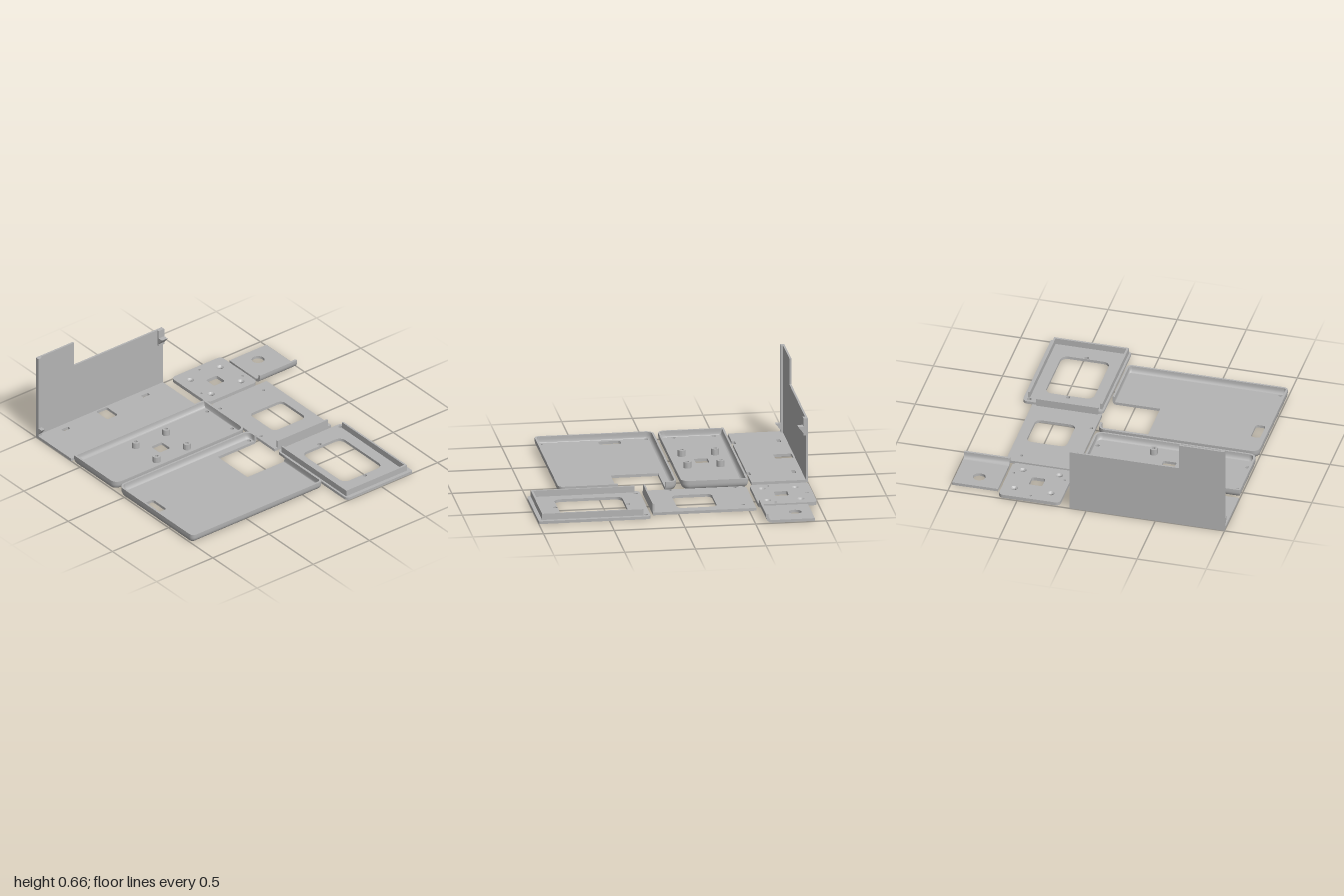
import * as THREE from 'three';
import { toCreasedNormals } from 'three/addons/utils/BufferGeometryUtils.js';

const grey = new THREE.MeshStandardMaterial({ color: 0xb4b4b4, side: THREE.DoubleSide });
grey.name = 'plain grey';

function add(group, name, geometry) {
  const mesh = new THREE.Mesh(toCreasedNormals(geometry, 0.6), grey);
  mesh.name = name;
  group.add(mesh);
  return mesh;
}

function part(root, name) {
  const g = new THREE.Group();
  g.name = name;
  root.add(g);
  return g;
}

// Rounded rectangle outline in (x, z); radii in order front-right, back-right, back-left, front-left as seen from above
function outline(x0, x1, z0, z1, radii, steps = 6) {
  const corners = [[x1, z1, -1, -1, 0.5], [x1, z0, -1, 1, 0], [x0, z0, 1, 1, -0.5], [x0, z1, 1, -1, -1]];
  return corners.flatMap(([x, z, sx, sz, turn], i) => {
    const r = Math.max(radii[i], 0.0005);
    return Array.from({ length: steps + 1 }, (_, k) => {
      const a = (turn - 0.5 * k / steps) * Math.PI;
      return new THREE.Vector2(x + sx * r + r * Math.cos(a), z + sz * r + r * Math.sin(a));
    });
  });
}
const rect = (x0, x1, z0, z1, r = 0) => outline(x0, x1, z0, z1, [r, r, r, r]);
const circle = (x, z, r) => Array.from({ length: 24 }, (_, i) =>
  new THREE.Vector2(x + r * Math.cos(i * Math.PI / 12), z + r * Math.sin(i * Math.PI / 12)));

// Flat plate: (x, z) outline with holes, raised along y
function plate(points, holes, y, height) {
  const flip = list => list.map(p => new THREE.Vector2(p.x, -p.y));
  const shape = new THREE.Shape(flip(points));
  shape.holes = holes.map(h => new THREE.Path(flip(h)));
  return new THREE.ExtrudeGeometry(shape, { depth: height, bevelEnabled: false })
    .rotateX(-Math.PI / 2).translate(0, y, 0);
}

// Bar with a (z, y) cross-section running along x
function bar(points, x0, x1) {
  const shape = new THREE.Shape(points.map(p => new THREE.Vector2(...p)));
  return new THREE.ExtrudeGeometry(shape, { depth: x1 - x0, bevelEnabled: false })
    .rotateY(-Math.PI / 2).translate(x1, 0, 0);
}

function box(x0, x1, y0, y1, z0, z1) {
  return new THREE.BoxGeometry(x1 - x0, y1 - y0, z1 - z0)
    .translate((x0 + x1) / 2, (y0 + y1) / 2, (z0 + z1) / 2);
}

// Rim section: [inset at the sides, inset at front and back, y]
const rim = [[0.02, 0.035, 0], [0.011, 0.021, 0.004], [0.005, 0.01, 0.013], [0.001, 0.003, 0.026], [0, 0, 0.04],
  [0, 0, 0.065], [0.016, 0.014, 0.065], [0.016, 0.015, 0.046], [0.017, 0.02, 0.032],
  [0.018, 0.027, 0.023], [0.02, 0.035, 0.02]];

// Tray: pierced floor with a swept rim, optionally open on the +x side
function tray(group, x0, x1, z0, z1, radii, holes, notch) {
  const ring = ([dx, dz]) => {
    const pts = outline(x0 + dx, x1 - dx, z0 + dz, z1 - dz, radii.map(r => r - Math.min(dx, dz)));
    if (!notch) return pts;
    const n = 7; // start just behind the opening and finish in front of it
    return [new THREE.Vector2(x1 - dx, notch.z0), ...pts.slice(n), ...pts.slice(0, n),
      new THREE.Vector2(x1 - dx, notch.z1)];
  };
  const rings = rim.map(ring);
  const n = rings[0].length, m = rim.length, pos = [], idx = [];
  rings.forEach((pts, j) => pts.forEach(p => pos.push(p.x, rim[j][2], p.y)));
  for (let j = 0; j < m - 1; j++) {
    for (let i = 0; i < (notch ? n - 1 : n); i++) {
      const a = j * n + i, b = j * n + (i + 1) % n;
      idx.push(a, b, b + n, a, b + n, a + n);
    }
  }
  if (notch) {
    const faces = THREE.ShapeUtils.triangulateShape(rim.map(p => new THREE.Vector2(p[0], p[2])), []);
    faces.forEach(([a, b, c]) => idx.push(a * n, b * n, c * n, c * n + n - 1, b * n + n - 1, a * n + n - 1));
  }
  const geo = new THREE.BufferGeometry();
  geo.setAttribute('position', new THREE.Float32BufferAttribute(pos, 3));
  geo.setIndex(idx);
  add(group, 'rim', geo);
  const floor = [...rings[0]];
  if (notch) floor.push(new THREE.Vector2(notch.x, notch.z1), new THREE.Vector2(notch.x, notch.z0));
  add(group, 'floor', plate(floor, holes, 0, 0.02));
}

export function createModel() {
  const root = new THREE.Group();
  root.name = 'enclosurePanels';

  // Upright bracket with slotted base and clips
  const bracket = part(root, 'bracket');
  const base = [[-1, -1], [0.12, -1], [0.12, -0.6], [-0.05, -0.6], [-0.05, -0.622], [-0.11, -0.622], [-0.11, -0.6],
    [-0.76, -0.6], [-0.76, -0.622], [-0.82, -0.622], [-0.82, -0.6], [-1, -0.6]].map(p => new THREE.Vector2(...p));
  add(bracket, 'base', plate(base, [rect(-0.82, -0.76, -0.942, -0.914), rect(-0.11, -0.05, -0.942, -0.914),
    rect(-0.485, -0.39, -0.975, -0.845, 0.015)], 0, 0.02));
  const wall = new THREE.Shape([[-1, 0], [0.12, 0], [0.12, 0.47], [-0.67, 0.47], [-0.67, 0.66], [-1, 0.66]]
    .map(p => new THREE.Vector2(...p)));
  add(bracket, 'wall', new THREE.ExtrudeGeometry(wall, { depth: 0.014, bevelEnabled: false }).translate(0, 0, -1));
  add(bracket, 'edgeRib', box(-1, -0.97, 0.02, 0.66, -0.99, -0.97));
  add(bracket, 'clipBacking', box(0.07, 0.12, 0.345, 0.47, -0.99, -0.97));
  for (const [x0, x1, top] of [[-1, -0.97, 0.085], [0.07, 0.12, 0.41]]) {
    add(bracket, 'clip', bar([[-0.975, top], [-0.932, top], [-0.97, top - 0.048], [-0.975, top - 0.048]], x0, x1));
  }

  // Small tray with hollow standoffs
  const small = part(root, 'smallTray');
  const posts = [-0.55, -0.28].flatMap(x => [-0.442, -0.207].map(z => [x, z]));
  const screws = [-0.96, 0.125].flatMap(x => [-0.495, -0.212].map(z => circle(x, z, 0.014)));
  tray(small, -1, 0.165, -0.57, -0.1, [0.055, 0.004, 0.004, 0.055],
    [rect(-0.465, -0.37, -0.377, -0.28, 0.012), ...screws, ...posts.map(([x, z]) => circle(x, z, 0.012))]);
  for (const [x, z] of posts) {
    add(small, 'standoff', plate(circle(x, z, 0.028), [circle(x, z, 0.012)], 0.019, 0.046));
  }

  // Large tray with a side opening
  const large = part(root, 'largeTray');
  tray(large, -1, 0.165, -0.07, 0.77, [0.035, 0.055, 0.055, 0.035],
    [rect(-0.95, -0.88, 0.17, 0.325, 0.018), circle(-0.958, -0.015, 0.014), circle(0.123, -0.015, 0.014),
      circle(-0.95, 0.73, 0.014)], { x: -0.18, z0: 0.015, z1: 0.35 });

  // Mounting plate with countersunk holes
  const mount = part(root, 'mountingPlate');
  const sinks = [0.285, 0.55].flatMap(x => [-0.885, -0.65].map(z => [x, z]));
  const tiny = [[0.415, -0.95], [0.235, -0.7], [0.602, -0.7]].map(([x, z]) => circle(x, z, 0.009));
  add(mount, 'plate', plate(rect(0.195, 0.64, -0.99, -0.575, 0.035),
    [rect(0.367, 0.465, -0.815, -0.72, 0.015), ...tiny, ...sinks.map(([x, z]) => circle(x, z, 0.026))], 0, 0.025));
  for (const [x, z] of sinks) {
    const profile = [[0.026, 0], [0.013, 0], [0.013, 0.012], [0.026, 0.025]].map(p => new THREE.Vector2(...p));
    add(mount, 'countersink', new THREE.LatheGeometry(profile, 24).translate(x, 0, z));
  }

  // Window panel with a narrow upright lip
  const panel = part(root, 'windowPanel');
  add(panel, 'plate', plate(outline(0.195, 0.7, -0.55, 0.18, [0, 0, 0.04, 0]),
    [rect(0.335, 0.625, -0.285, -0.003, 0.04), circle(0.223, -0.468, 0.012), circle(0.608, -0.468, 0.012),
      circle(0.223, -0.01, 0.012)], 0, 0.02));
  add(panel, 'lip', box(0.222, 0.67, 0.015, 0.075, 0.168, 0.18));

  // Bezel with walls on three sides
  const bezel = part(root, 'bezel');
  add(bezel, 'frame', plate(outline(0.195, 0.78, 0.205, 1, [0.01, 0.035, 0.035, 0.035]),
    [rect(0.305, 0.655, 0.345, 0.825, 0.05), circle(0.48, 0.325, 0.015), circle(0.48, 0.84, 0.015),
      circle(0.25, 0.237, 0.015), circle(0.737, 0.237, 0.015)], 0, 0.02));
  add(bezel, 'rightWall', box(0.21, 0.225, 0.018, 0.065, 0.24, 0.973));
  add(bezel, 'leftWall', box(0.737, 0.75, 0.018, 0.065, 0.255, 0.973));
  add(bezel, 'frontWall', box(0.225, 0.737, 0.018, 0.065, 0.958, 0.973));

  // Cover plate with a curled front lip
  const cover = part(root, 'coverPlate');
  add(cover, 'plate', plate(rect(0.66, 0.99, -0.92, -0.62), [circle(0.825, -0.805, 0.045)], 0, 0.02));
  add(cover, 'curledLip', bar([[-0.62, 0], [-0.602, 0.004], [-0.587, 0.014], [-0.578, 0.028], [-0.575, 0.045],
    [-0.575, 0.065], [-0.591, 0.065], [-0.592, 0.045], [-0.597, 0.032], [-0.606, 0.023], [-0.62, 0.02]], 0.66, 0.99));

  return root;
}
